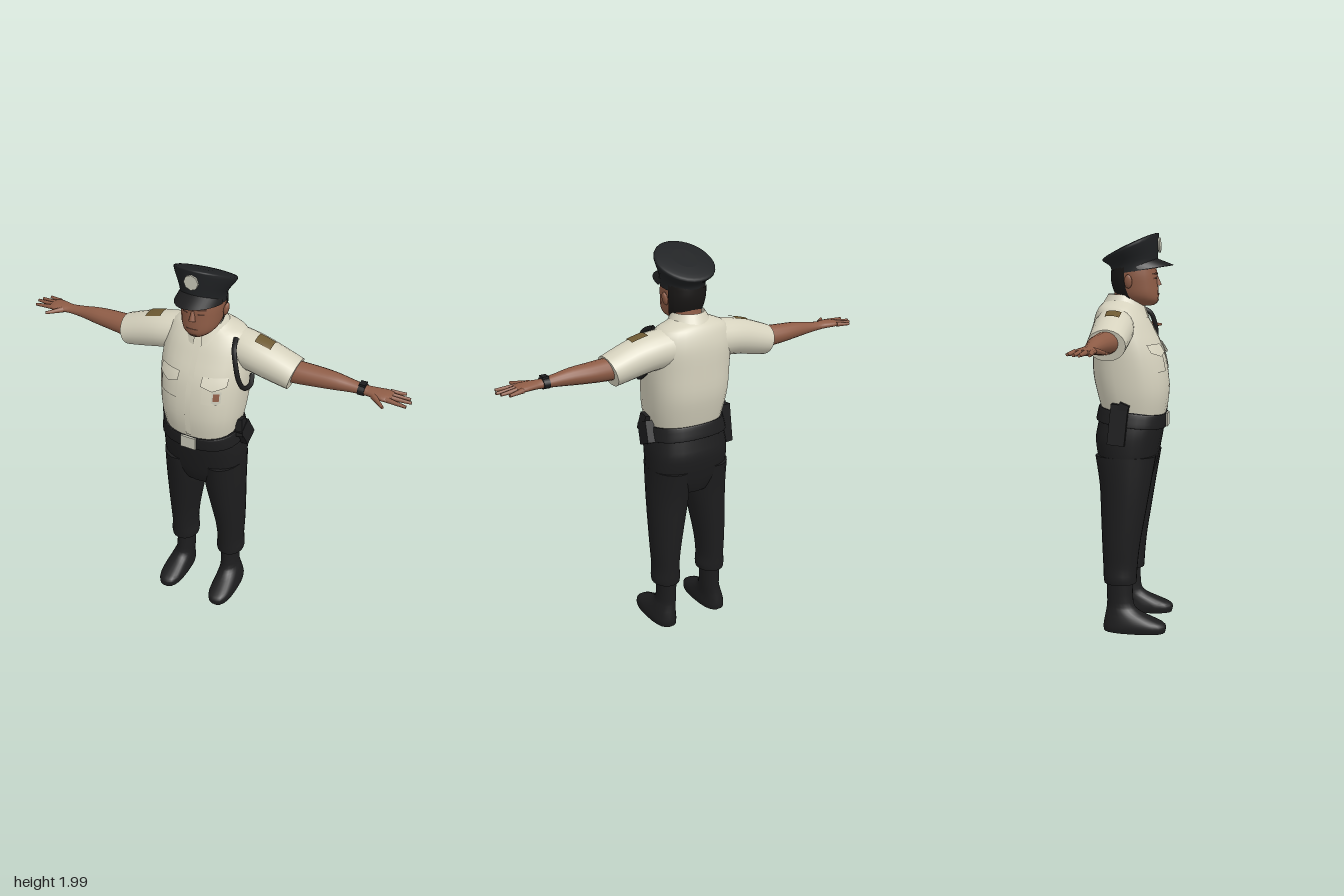
import * as THREE from 'three';

const mat = (name, color, side = THREE.DoubleSide) => new THREE.MeshStandardMaterial({ name, color, side });

// Row of a loft: [position, centre, radius, zFront, zBack, roundness = 2, tilt = 0]
function rowAt(rows, t) {
  const n = rows.length - 1, f = Math.min(Math.max(t, 0), 1) * n, i = Math.min(Math.floor(f), n - 1), k = f - i;
  const get = (j, c) => rows[Math.min(Math.max(j, 0), n)][c] ?? (c === 5 ? 2 : 0);
  return [0, 1, 2, 3, 4, 5, 6].map((c) => {
    const [a, b, d, e] = [get(i - 1, c), get(i, c), get(i + 1, c), get(i + 2, c)];
    return b + 0.5 * k * (d - a + k * (2 * a - 5 * b + 4 * d - e + k * (3 * (b - d) + e - a)));
  });
}

// Point on a loft that runs along x or y, pushed outwards by off
function surfacePoint(rows, axis, t, a, off = 0) {
  const [p, c, r, zf, zb, n, tilt] = rowAt(rows, t);
  const pw = (v) => Math.sign(v) * Math.abs(v) ** (2 / n);
  const co = pw(Math.cos(a)), si = pw(Math.sin(a));
  const zc = (zf + zb) / 2, rz = (zf - zb) / 2 + off;
  if (axis === 'y') return [c + (r + off) * co, p + tilt * rz * si, zc + rz * si];
  return [p + tilt * r * si, c + (r + off) * si, zc + rz * co];
}

// Surface from a rule fn(u, v); caps close both ends; side -1 mirrors it in x
function grid(fn, nu, nv, { closed = false, caps = false, side = 1 } = {}) {
  const pos = [], idx = [], w = closed ? nv : nv + 1;
  const put = (p) => pos.push(p[0] * side, p[1], p[2]) / 3 - 1;
  const tri = (a, b, c) => (side > 0 ? idx.push(a, b, c) : idx.push(a, c, b));
  for (let i = 0; i <= nu; i++) for (let j = 0; j < w; j++) put(fn(i / nu, j / nv));
  for (let i = 0; i < nu; i++) for (let j = 0; j < nv; j++) {
    const a = i * w + j, b = i * w + (j + 1) % w;
    tri(a, a + w, b);
    tri(b, a + w, b + w);
  }
  if (caps) for (const u of [0, 1]) {
    const ring = Array.from({ length: nv }, (_, j) => fn(u, j / nv));
    const mid = put([0, 1, 2].map((k) => ring.reduce((s, p) => s + p[k], 0) / nv));
    const ids = ring.map(put);
    ids.forEach((id, j) => {
      const next = ids[(j + 1) % nv];
      u ? tri(mid, next, id) : tri(mid, id, next);
    });
  }
  const g = new THREE.BufferGeometry();
  g.setAttribute('position', new THREE.Float32BufferAttribute(pos, 3));
  g.setIndex(idx);
  g.computeVertexNormals();
  return g;
}

const loft = (rows, axis = 'y', side = 1, seg = 22) =>
  grid((u, v) => surfacePoint(rows, axis, u, v * Math.PI * 2), (rows.length - 1) * 3, seg, { closed: true, caps: true, side });

// Part of a loft's skin, lifted slightly
const skinPatch = (rows, axis, t0, t1, a0, a1, off, side = 1) =>
  grid((u, v) => surfacePoint(rows, axis, t0 + (t1 - t0) * u, a0 + (a1 - a0) * v, off), 6, 12, { side });

// Front depth of an upright loft at x, y
function frontZ(rows, x, y) {
  let lo = 0, hi = 1;
  for (let i = 0; i < 24; i++) {
    const m = (lo + hi) / 2;
    if (rowAt(rows, m)[0] < y) lo = m; else hi = m;
  }
  const [, c, r, zf, zb, n] = rowAt(rows, lo);
  return (zf + zb) / 2 + (zf - zb) / 2 * Math.max(0, 1 - Math.abs((x - c) / r) ** n) ** (1 / n);
}

// Thin plate that follows the front of a loft; point lowers the middle of its bottom edge
const plate = (rows, x0, x1, y0, y1, off = 0.005, { point = 0, flare = 0 } = {}) =>
  grid((u, v) => {
    const x = x1 + (x0 - x1) * v;
    const low = y0 - point * (1 - Math.abs(2 * v - 1));
    const y = low + (y1 - low) * u;
    return [x, y, frontZ(rows, x, y) + off + flare * (1 - u)];
  }, 4, 8);

// Tapered rod between two points
function rod(a, b, ra, rb) {
  const A = new THREE.Vector3(...a), B = new THREE.Vector3(...b), d = B.clone().sub(A);
  const g = new THREE.CylinderGeometry(rb, ra, d.length(), 8);
  g.applyQuaternion(new THREE.Quaternion().setFromUnitVectors(new THREE.Vector3(0, 1, 0), d.normalize()));
  return g.translate(...A.add(B).multiplyScalar(0.5).toArray());
}

const TORSO = [
  [1.08, 0, 0.18, 0.158, -0.145, 2.3], [1.19, 0, 0.203, 0.176, -0.175, 2.4], [1.3, 0, 0.215, 0.172, -0.198, 2.4],
  [1.42, 0, 0.222, 0.147, -0.201, 2.3], [1.52, 0, 0.22, 0.1, -0.2, 2.3], [1.58, 0, 0.21, 0.068, -0.19, 2.2],
  [1.625, 0, 0.18, 0.036, -0.172, 2.2], [1.65, 0, 0.125, 0.02, -0.15], [1.672, 0, 0.078, 0.005, -0.11]];
const SLEEVE = [
  [0.13, 1.54, 0.095, 0.02, -0.17], [0.23, 1.53, 0.092, 0.035, -0.165], [0.33, 1.508, 0.09, 0.035, -0.155],
  [0.445, 1.474, 0.073, 0.03, -0.15, 2, 0.28]];
const ARM = [
  [0.38, 1.486, 0.052, 0, -0.12], [0.46, 1.486, 0.053, -0.004, -0.12], [0.55, 1.488, 0.047, -0.012, -0.12],
  [0.64, 1.49, 0.04, -0.022, -0.112], [0.72, 1.488, 0.029, -0.035, -0.102], [0.79, 1.486, 0.021, -0.038, -0.098],
  [0.83, 1.487, 0.019, -0.028, -0.105], [0.88, 1.487, 0.017, -0.02, -0.115], [0.91, 1.486, 0.011, -0.03, -0.11]];
const HEAD = [
  [1.638, 0, 0.035, 0.1, 0.02], [1.66, 0, 0.068, 0.119, -0.045, 2.2], [1.69, 0, 0.088, 0.123, -0.08, 2.2],
  [1.74, 0, 0.097, 0.119, -0.1, 2.2], [1.79, 0, 0.102, 0.115, -0.105, 2.1], [1.85, 0, 0.1, 0.105, -0.1]];
const CAP = [
  [1.802, 0, 0.107, 0.118, -0.108, 2, 0.15], [1.85, 0, 0.112, 0.119, -0.116, 2, 0.22],
  [1.909, 0, 0.146, 0.123, -0.154, 2, 0.42], [1.928, 0, 0.132, 0.116, -0.143, 2, 0.46], [1.934, 0, 0.06, 0.05, -0.08, 2, 0.46]];
const HIPS = [
  [0.77, 0, 0.15, 0.09, -0.14], [0.84, 0, 0.207, 0.115, -0.165, 2.3], [0.96, 0, 0.214, 0.14, -0.188, 2.4],
  [1.04, 0, 0.207, 0.153, -0.178, 2.4], [1.13, 0, 0.19, 0.162, -0.158, 2.3, -0.12]];
const LEG = [
  [0.25, 0.139, 0.072, 0.034, -0.13], [0.28, 0.139, 0.075, 0.036, -0.133], [0.34, 0.139, 0.069, 0.04, -0.135],
  [0.45, 0.136, 0.077, 0.052, -0.14], [0.6, 0.124, 0.092, 0.077, -0.147], [0.75, 0.111, 0.106, 0.102, -0.155],
  [0.9, 0.108, 0.106, 0.128, -0.177]];
const BOOT = [
  [0, 0.153, 0.063, 0.184, -0.13, 2.6], [0.022, 0.153, 0.066, 0.188, -0.132, 2.6], [0.045, 0.152, 0.064, 0.175, -0.13, 2.5],
  [0.075, 0.149, 0.058, 0.105, -0.125, 2.3], [0.105, 0.144, 0.053, 0.045, -0.12], [0.15, 0.138, 0.048, 0.018, -0.116],
  [0.29, 0.136, 0.048, 0.014, -0.12]];
const BELT = [
  [1.055, 0, 0.211, 0.162, -0.182, 2.4, -0.12], [1.062, 0, 0.213, 0.168, -0.184, 2.4, -0.12],
  [1.118, 0, 0.202, 0.171, -0.172, 2.4, -0.12], [1.124, 0, 0.197, 0.165, -0.166, 2.4, -0.12]];
const WATCH = [[0.755, 1.487, 0.027, -0.032, -0.104], [0.785, 1.487, 0.026, -0.032, -0.104]];

export function createModel() {
  const root = new THREE.Group();
  root.name = 'officer';
  const shirt = mat('shirt cream', 0xd6d2be), black = mat('uniform black', 0x1d1d1e), cloth = mat('cap black', 0x202224);
  const skin = mat('skin brown', 0x8e5c46, THREE.FrontSide), shade = mat('facial hair brown', 0x523529);
  const hair = mat('hair black', 0x191716), gold = mat('patch gold', 0x6e5a33), metal = mat('badge silver', 0xc9c8b8);
  const add = (name, geometry, material) => {
    const m = new THREE.Mesh(geometry, material);
    m.name = name;
    root.add(m);
    return m;
  };
  const box = (name, size, at, material, rot = [0, 0, 0]) => {
    const m = add(name, new THREE.BoxGeometry(...size), material);
    m.position.set(...at);
    m.rotation.set(...rot);
  };

  // Shirt
  add('shirt', loft(TORSO, 'y', 1, 28), shirt);
  add('buttonPlacket', plate(TORSO, -0.014, 0.014, 1.12, 1.6, 0.004), shirt);
  add('collar', grid((u, v) => {
    const a = Math.PI * 0.5 + 0.18 + (Math.PI * 2 - 0.36) * v, r = 0.112 - 0.03 * u;
    const front = Math.max(0, Math.sin(a));
    return [r * Math.cos(a), 1.63 + 0.05 * u - 0.04 * front * (1.4 - u) + 0.012 * (1 - front), -0.045 + r * Math.sin(a) * (1.0 + 0.1 * front)];
  }, 3, 24), shirt);
  for (const s of [-1, 1]) {
    const [a, b] = s > 0 ? [0.06, 0.175] : [-0.175, -0.06];
    add('chestPocket', plate(TORSO, a + 0.006, b - 0.006, 1.32, 1.44, 0.004), shirt);
    add('pocketFlap', plate(TORSO, a, b, 1.415, 1.455, 0.006, { point: 0.02, flare: 0.01 }), shirt);
  }
  add('chestBadge', plate(TORSO, 0.115, 0.155, 1.335, 1.39, 0.009, { point: 0.012 }), metal);
  add('chestBadgeCentre', plate(TORSO, 0.123, 0.149, 1.345, 1.382, 0.013), skin);

  // Cord looped around the left shoulder
  const cord = [[0.165, 1.62, 0], [0.182, 1.595, 0.055], [0.205, 1.52, 0.082], [0.22, 1.45, 0.08],
    [0.235, 1.392, 0.05], [0.245, 1.385, 0], [0.235, 1.42, -0.04]].map((p) => new THREE.Vector3(...p));
  add('shoulderCord', new THREE.TubeGeometry(new THREE.CatmullRomCurve3(cord), 32, 0.012, 7), black);

  // Limbs, mirrored
  const fingers = [[[0.89, -0.107], [0.96, -0.125]], [[0.9, -0.083], [0.988, -0.094]],
    [[0.9, -0.06], [1.0, -0.068]], [[0.89, -0.036], [0.987, -0.027]], [[0.83, -0.038], [0.895, 0.025]]];
  for (const s of [-1, 1]) {
    add('sleeve', loft(SLEEVE, 'x', s), shirt);
    add('shoulderPatch', skinPatch(SLEEVE, 'x', 0.4, 0.67, 1.15, 1.85, 0.005, s), gold);
    add('arm', loft(ARM, 'x', s, 16), skin);
    fingers.forEach(([a, b], i) => add(i < 4 ? 'finger' : 'thumb',
      rod([a[0] * s, 1.487, a[1]], [b[0] * s, 1.483, b[1]], i < 4 ? 0.0125 : 0.015, 0.007), skin));
    add('trouserLeg', loft(LEG, 'y', s), black);
    add('boot', loft(BOOT, 'y', s), black);
  }
  add('watchStrap', loft(WATCH, 'x'), black);
  box('watchFace', [0.03, 0.012, 0.036], [0.77, 1.514, -0.068], black);

  // Hips, belt and gear
  add('trouserSeat', loft(HIPS, 'y', 1, 28), black);
  add('belt', loft(BELT, 'y', 1, 28), black);
  box('buckle', [0.08, 0.066, 0.009], [0, 1.072, 0.172], metal);
  box('holster', [0.05, 0.2, 0.085], [-0.213, 1.07, -0.045], black, [0.1, 0, -0.04]);
  box('holsterGrip', [0.03, 0.05, 0.05], [-0.22, 1.15, -0.02], black, [0.4, 0, 0]);
  box('beltPouch', [0.045, 0.11, 0.085], [0.216, 1.095, -0.01], black, [0.45, 0, 0.12]);
  box('radio', [0.035, 0.09, 0.05], [0.212, 1.14, 0.02], black, [-0.2, 0, 0.15]);

  // Head
  add('neck', loft([[1.58, 0, 0.08, 0, -0.115], [1.66, 0, 0.073, 0.01, -0.1], [1.72, 0, 0.075, 0.03, -0.095]]), skin);
  add('head', loft(HEAD), skin);
  add('nose', rod([0, 1.78, 0.112], [0, 1.733, 0.122], 0.007, 0.017), skin);
  add('hair', skinPatch(HEAD, 'y', 0.3, 1, Math.PI * 1.1, Math.PI * 1.9, 0.006), hair);
  add('napeHair', skinPatch(HEAD, 'y', 0.42, 0.85, Math.PI * 1.2, Math.PI * 1.8, 0.009), hair);
  add('goatee', plate(HEAD, -0.02, 0.02, 1.645, 1.665, 0.003), shade);
  add('mouth', plate(HEAD, -0.028, 0.028, 1.689, 1.696, 0.003), shade);
  for (const s of [-1, 1]) {
    add('eye', plate(HEAD, s * 0.04 - 0.015, s * 0.04 + 0.015, 1.765, 1.773, 0.003), shade);
    add('eyebrow', plate(HEAD, s * 0.042 - 0.02, s * 0.042 + 0.02, 1.787, 1.796, 0.004), shade);
    const ear = add('ear', new THREE.SphereGeometry(1, 10, 8), skin);
    ear.scale.set(0.012, 0.034, 0.02);
    ear.position.set(s * 0.107, 1.755, -0.012);
    ear.rotation.z = -s * 0.2;
  }

  // Peaked cap
  add('cap', loft(CAP, 'y', 1, 28), cloth);
  add('capVisor', grid((u, v) => {
    const a = Math.PI * (0.06 + 0.88 * v), s = Math.sin(a);
    return [0.109 * Math.cos(a) * (1 + 0.04 * u), 1.815 + 0.05 * s - u * (0.012 + 0.02 * s), 0.004 + 0.112 * s + u * 0.084 * s];
  }, 4, 20), black);
  const badge = add('capBadge', new THREE.CylinderGeometry(0.036, 0.036, 0.009, 8), metal);
  badge.position.set(0, 1.93, 0.127);
  badge.rotation.x = Math.PI / 2 - 0.04;
  return root;
}
